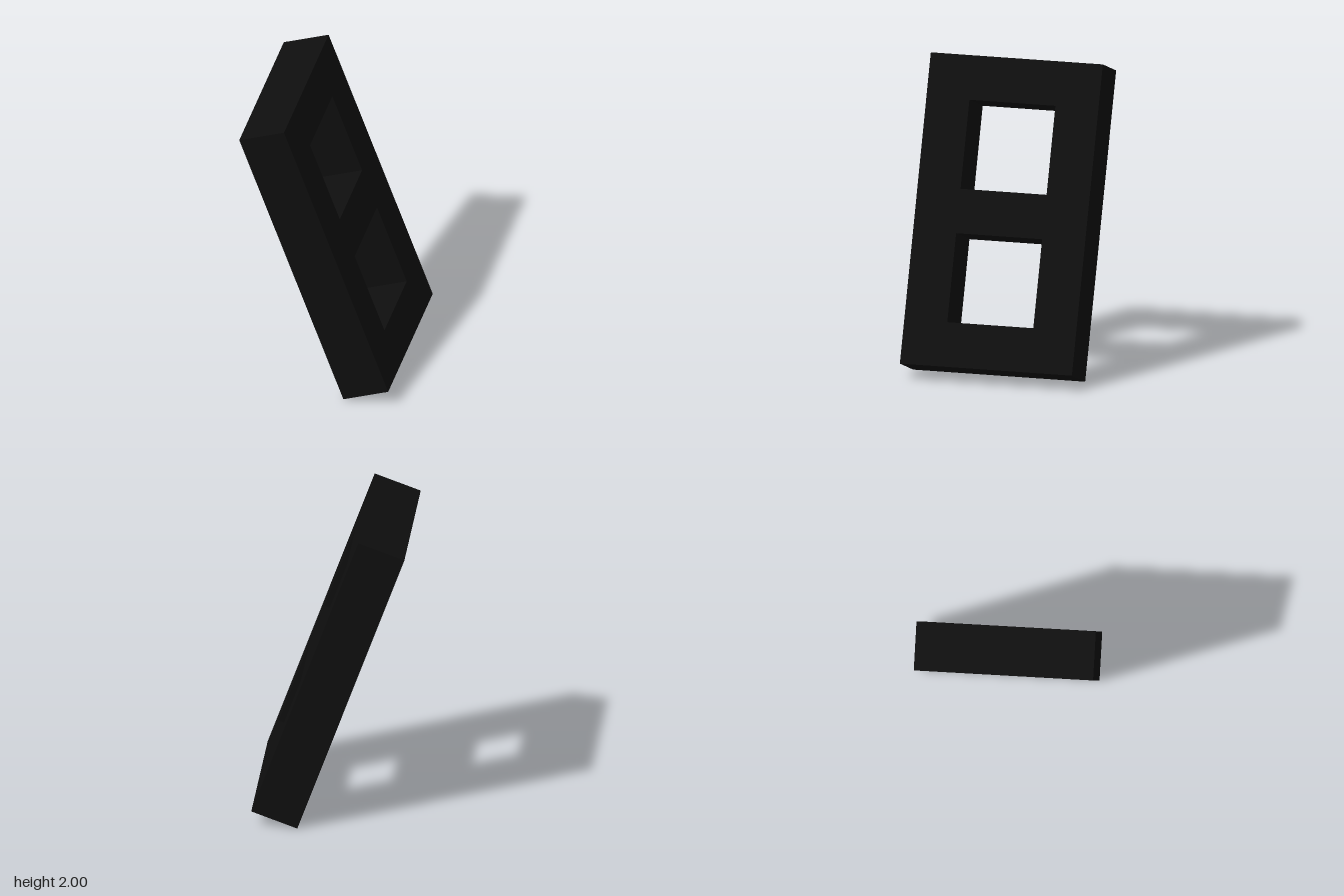
import * as THREE from 'three';

const UNIT = 0.2877;            // rail width; each opening is two units square
const WIDTH = UNIT * 4;
const LENGTH = UNIT * 7;
const DEPTH = 0.315;
const TILT = THREE.MathUtils.degToRad(20);

// Four walls of a box, open at both ends along z
function sleeve(width, height) {
  const geometry = new THREE.BoxGeometry(width, height, DEPTH);
  geometry.setIndex(Array.from(geometry.index.array).slice(0, 24));
  geometry.clearGroups();
  return geometry;
}

// Rectangle outline centred on (0, y)
function rectangle(path, width, height, y) {
  const w = width / 2, h = height / 2;
  path.moveTo(-w, y - h);
  path.lineTo(w, y - h);
  path.lineTo(w, y + h);
  path.lineTo(-w, y + h);
  path.closePath();
  return path;
}

export function createModel() {
  const black = new THREE.MeshStandardMaterial({ color: 0x0e0e0e });
  black.name = 'black';
  black.side = THREE.DoubleSide;

  const model = new THREE.Group();
  model.name = 'leaningFrame';
  const frame = new THREE.Group();
  frame.name = 'frame';

  const add = (name, geometry, y, z) => {
    const mesh = new THREE.Mesh(geometry, black);
    mesh.name = name;
    mesh.position.set(0, y, z);
    frame.add(mesh);
  };

  // Outer walls; the underside of the shell is open
  add('outerWalls', sleeve(WIDTH, LENGTH), 0, 0);

  // Face panel with two square openings, each lined with walls
  const face = rectangle(new THREE.Shape(), WIDTH, LENGTH, 0);
  for (const [name, y] of [['upperOpening', UNIT * 1.5], ['lowerOpening', -UNIT * 1.5]]) {
    face.holes.push(rectangle(new THREE.Path(), UNIT * 2, UNIT * 2, y));
    add(name, sleeve(UNIT * 2, UNIT * 2), y, 0);
  }
  add('facePanel', new THREE.ShapeGeometry(face), 0, DEPTH / 2);

  // Turn the face to +x, then lean the frame back
  frame.rotation.y = Math.PI / 2;
  const lean = new THREE.Group();
  lean.name = 'lean';
  lean.rotation.z = TILT;
  lean.position.y = (LENGTH * Math.cos(TILT) + DEPTH * Math.sin(TILT)) / 2;
  lean.add(frame);
  model.add(lean);
  return model;
}
